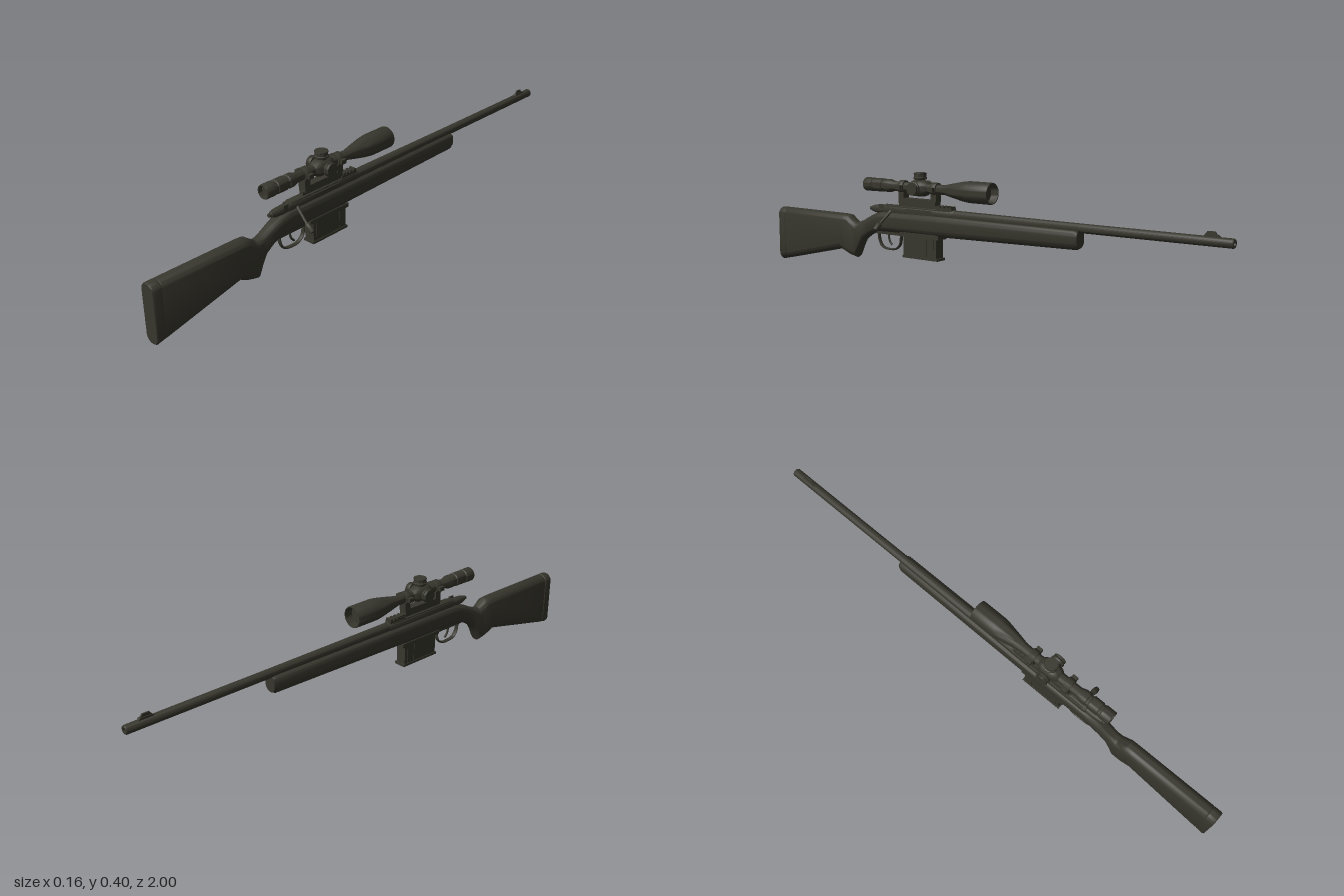
import * as THREE from 'three';
import { toCreasedNormals } from 'three/addons/utils/BufferGeometryUtils.js';

export function createModel() {
  const model = new THREE.Group();
  model.name = 'scopedRifle';
  const body = new THREE.Group();
  body.name = 'rifleBody';
  body.position.x = -0.025;
  model.add(body);

  const olive = new THREE.MeshStandardMaterial({ color: 0x37362d });
  olive.name = 'dark olive';

  function add(name, geo, x = 0, y = 0, z = 0, parent = body) {
    const mesh = new THREE.Mesh(geo, olive);
    mesh.name = name;
    mesh.position.set(x, y, z);
    parent.add(mesh);
    return mesh;
  }
  const box = (name, w, y0, y1, z0, z1, x = 0) =>
    add(name, new THREE.BoxGeometry(w, y1 - y0, z1 - z0), x, (y0 + y1) / 2, (z0 + z1) / 2);

  // Turned part: profile of [radius, height] pairs, lower end first
  const turned = (pts, seg = 28) =>
    toCreasedNormals(new THREE.LatheGeometry(pts.map(p => new THREE.Vector2(...p)), seg), 0.6);
  const turnedZ = (name, y, pts, seg) => add(name, turned(pts, seg).rotateX(Math.PI / 2), 0, y, 0);

  // Side outline of [z, y] points given a thickness across x
  function plate(name, pts, width, x = 0) {
    const geo = new THREE.ExtrudeGeometry(new THREE.Shape(pts.map(p => new THREE.Vector2(...p))),
      { depth: width, bevelEnabled: false });
    geo.translate(0, 0, -width / 2).rotateY(-Math.PI / 2);
    return add(name, geo, x);
  }

  // Loft from sections [z, bottom, top, halfWidth, topRadius, topSquareness], rear first
  function loft(name, sections) {
    const n = 32, pos = [], idx = [];
    for (const [z, yb, yt, w, rt, p] of sections) {
      const rb = Math.min(w * 1.05, (yt - yb) * 0.5);
      for (let j = 0; j < n; j++) {
        const a = (j / n) * Math.PI * 2, c = Math.cos(a), s = Math.sin(a);
        if (s >= 0) pos.push(w * Math.sign(c) * Math.abs(c) ** p, yt - rt + rt * s ** p, z);
        else pos.push(w * c, yb + rb + rb * s, z);
      }
    }
    const m = sections.length;
    for (let i = 0; i < m - 1; i++) {
      for (let j = 0; j < n; j++) {
        const k = (j + 1) % n, a = i * n + j, b = i * n + k, d = a + n, c = b + n;
        idx.push(a, d, b, b, d, c);
      }
    }
    for (const i of [0, m - 1]) {
      const [z, yb, yt] = sections[i], centre = pos.length / 3;
      pos.push(0, (yb + yt) / 2, z);
      for (let j = 0; j < n; j++) {
        const a = i * n + j, b = i * n + (j + 1) % n;
        if (i === 0) idx.push(centre, a, b); else idx.push(centre, b, a);
      }
    }
    const geo = new THREE.BufferGeometry();
    geo.setAttribute('position', new THREE.Float32BufferAttribute(pos, 3));
    geo.setIndex(idx);
    return add(name, toCreasedNormals(geo, 0.6));
  }

  // Stock from butt through grip to fore-end
  loft('buttPad', [
    [1.0, 0.006, 0.22, 0.027, 0.026, 1],
    [0.995, 0.002, 0.223, 0.03, 0.029, 1],
    [0.967, 0.008, 0.223, 0.03, 0.029, 1],
    [0.963, 0.012, 0.22, 0.027, 0.026, 1],
  ]);
  loft('stock', [
    [0.966, 0.012, 0.22, 0.027, 0.026, 1],
    [0.96, 0.009, 0.223, 0.03, 0.029, 1],
    [0.65, 0.079, 0.222, 0.03, 0.029, 1],
    [0.637, 0.071, 0.222, 0.03, 0.029, 1],
    [0.61, 0.06, 0.22, 0.03, 0.029, 1],
    [0.595, 0.056, 0.208, 0.029, 0.028, 1],
    [0.572, 0.051, 0.193, 0.027, 0.026, 1],
    [0.556, 0.085, 0.196, 0.025, 0.024, 1],
    [0.535, 0.122, 0.204, 0.025, 0.024, 1],
    [0.5, 0.147, 0.222, 0.026, 0.024, 0.9],
    [0.46, 0.164, 0.24, 0.028, 0.024, 0.8],
    [0.42, 0.166, 0.248, 0.029, 0.024, 0.7],
    [0.15, 0.169, 0.25, 0.03, 0.024, 0.65],
    [-0.44, 0.18, 0.25, 0.029, 0.024, 0.65],
    [-0.452, 0.186, 0.246, 0.025, 0.02, 0.65],
  ]);

  // Barrel with open muzzle, receiver and bolt
  const bore = 0.256;
  turnedZ('barrel', bore, [[0, -0.96], [0.008, -0.96], [0.008, -1], [0.014, -1], [0.016, -0.996],
    [0.0165, -0.45], [0.018, -0.1], [0.019, 0.1], [0, 0.1]]);
  turnedZ('receiver', bore, [[0, 0.08], [0.018, 0.08], [0.02, 0.085], [0.02, 0.42], [0.018, 0.425], [0, 0.425]]);
  turnedZ('boltShroud', bore - 0.002, [[0, 0.42], [0.016, 0.42], [0.017, 0.44], [0.015, 0.475],
    [0.01, 0.492], [0.007, 0.494], [0.007, 0.502], [0, 0.502]]);
  box('ejectionPort', 0.006, 0.25, 0.266, 0.18, 0.31, 0.017);
  box('safetyLever', 0.006, 0.25, 0.274, 0.425, 0.447, 0.013);
  const bolt = new THREE.Group();
  bolt.name = 'boltHandle';
  bolt.position.set(0.012, 0.252, 0.385);
  bolt.rotation.z = -Math.PI + 0.9;
  body.add(bolt);
  add('boltArm', turned([[0, 0], [0.009, 0], [0.007, 0.015], [0.005, 0.035], [0.005, 0.078]], 16), 0, 0, 0, bolt)
    .rotation.x = 0.14;
  add('boltKnob', turned([[0, 0.07], [0.006, 0.07], [0.011, 0.079], [0.011, 0.1], [0.009, 0.108], [0, 0.111]], 18),
    0, 0, 0.01, bolt);

  // Front sight
  plate('sightRamp', [[-0.955, 0.268], [-0.89, 0.268], [-0.905, 0.278], [-0.945, 0.278]], 0.012);
  plate('sightBlade', [[-0.943, 0.276], [-0.9, 0.276], [-0.91, 0.288], [-0.935, 0.288]], 0.006);

  // Scope rail
  box('railFoot', 0.018, 0.265, 0.287, 0.14, 0.35);
  box('railBase', 0.032, 0.285, 0.306, 0.165, 0.345);
  box('frontRail', 0.026, 0.268, 0.281, 0.09, 0.165);
  for (let i = 0; i < 4; i++) box('railRidge', 0.026, 0.28, 0.288, 0.092 + i * 0.018, 0.102 + i * 0.018);
  for (const s of [-1, 1]) {
    box('receiverRail', 0.005, 0.262, 0.272, 0.1, 0.41, s * 0.013);
  }

  // Scope with recessed lenses
  const sight = 0.348;
  turnedZ('scopeTube', sight, [
    [0, -0.055], [0.034, -0.055], [0.036, -0.085], [0.039, -0.085], [0.04, -0.082], [0.04, 0.015],
    [0.036, 0.045], [0.026, 0.095], [0.0185, 0.13], [0.0185, 0.205], [0.026, 0.215], [0.032, 0.232],
    [0.032, 0.268], [0.026, 0.285], [0.0185, 0.295], [0.0185, 0.375], [0.025, 0.395], [0.025, 0.415],
    [0.0225, 0.418], [0.0225, 0.427], [0.026, 0.43], [0.026, 0.468], [0.0235, 0.471], [0.0235, 0.479],
    [0.0265, 0.482], [0.0265, 0.518], [0.025, 0.521], [0.022, 0.521], [0.021, 0.505], [0, 0.505]], 32);
  for (const z of [0.175, 0.333]) {
    turnedZ('scopeRing', sight, [[0.018, z - 0.013], [0.024, z - 0.013], [0.025, z - 0.011],
      [0.025, z + 0.011], [0.024, z + 0.013], [0.018, z + 0.013]]);
    box('ringPost', 0.032, 0.3, 0.333, z - 0.013, z + 0.013);
    for (const s of [-1, 1]) box('ringClamp', 0.014, 0.34, 0.356, z - 0.011, z + 0.011, s * 0.029);
  }

  // Adjustment turrets on top and both sides
  for (const angle of [0, Math.PI / 2, -Math.PI / 2]) {
    const reach = angle ? 0.053 : 0.058;
    add('turret', turned([[0.018, 0.015], [0.018, 0.033], [0.024, 0.033], [0.026, 0.036],
      [0.026, 0.041], [0.023, 0.043], [0.023, reach - 0.006], [0.025, reach - 0.004],
      [0.024, reach], [0, reach]], 24), 0, sight, 0.25).rotation.z = angle;
  }

  // Magazine with side panels and floor lip
  box('magazine', 0.042, 0.085, 0.19, 0.158, 0.318);
  box('magazineFloor', 0.048, 0.079, 0.088, 0.151, 0.322);
  for (const s of [-1, 1]) {
    box('magazinePanel', 0.004, 0.092, 0.165, 0.17, 0.19, s * 0.021);
    box('magazinePanel', 0.004, 0.092, 0.165, 0.205, 0.306, s * 0.021);
  }
  box('magazineWell', 0.05, 0.16, 0.175, 0.145, 0.335);

  // Trigger guard and trigger
  const guardPath = new THREE.CatmullRomCurve3([[0.175, 0.335], [0.155, 0.345], [0.122, 0.352], [0.103, 0.375],
    [0.1, 0.41], [0.107, 0.44], [0.13, 0.456], [0.17, 0.462]].map(([y, z]) => new THREE.Vector3(0, y, z)));
  add('triggerGuard', new THREE.TubeGeometry(guardPath, 36, 0.004, 8).scale(2.2, 1, 1));
  const triggerPath = new THREE.CatmullRomCurve3([[0.175, 0.405], [0.15, 0.41], [0.13, 0.405], [0.116, 0.392]]
    .map(([y, z]) => new THREE.Vector3(0, y, z)));
  add('trigger', new THREE.TubeGeometry(triggerPath, 14, 0.004, 8));
  box('triggerPlate', 0.024, 0.158, 0.17, 0.33, 0.47);

  return model;
}
